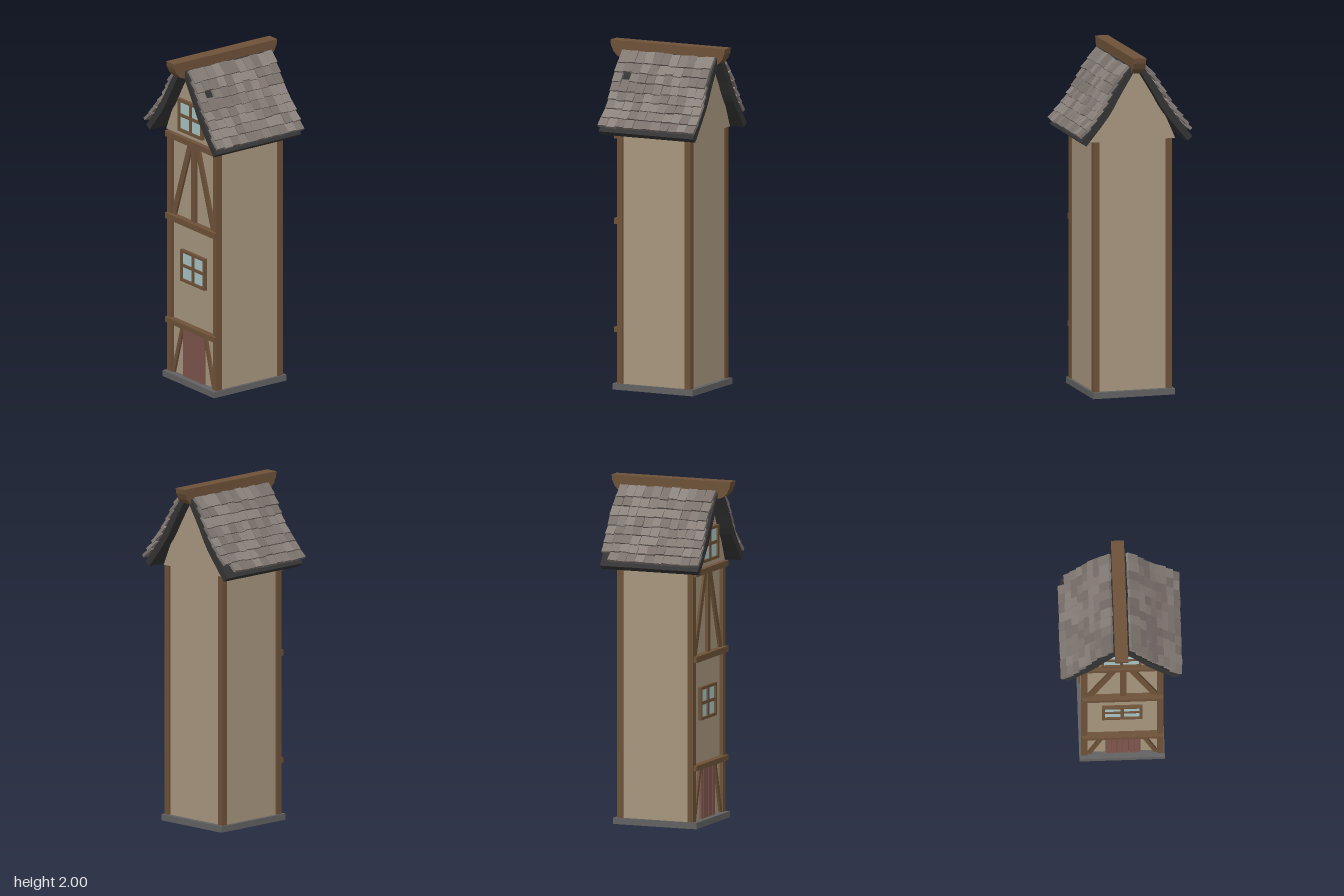
import * as THREE from 'three';
import { mergeGeometries } from 'three/addons/utils/BufferGeometryUtils.js';

const mat = (color) => new THREE.MeshStandardMaterial({ color, flatShading: true });
const WALL = mat(0xa8977f), WOOD = mat(0x6e5239), GLASS = mat(0xa9c6c6), DOOR = mat(0x80564e);
const STONE = mat(0x626262), UNDERLAY = mat(0x343434);
const TILES = [0x8b827c, 0x827973, 0x7a716c].map(mat);

let seed = 7;
const rand = () => (seed = (seed * 16807) % 2147483647) / 2147483647;
const jitter = (a) => (rand() - 0.5) * 2 * a;

// Box given by its limits on each axis
function box(parent, name, m, x0, x1, y0, y1, z0, z1) {
  const mesh = new THREE.Mesh(new THREE.BoxGeometry(x1 - x0, y1 - y0, z1 - z0), m);
  mesh.position.set((x0 + x1) / 2, (y0 + y1) / 2, (z0 + z1) / 2);
  mesh.name = name;
  parent.add(mesh);
  return mesh;
}

// Outline in xy, extruded from z0 to z1
function slab(parent, name, m, pts, z0, z1) {
  const shape = new THREE.Shape(pts.map(([x, y]) => new THREE.Vector2(x, y)));
  const geo = new THREE.ExtrudeGeometry(shape, { depth: z1 - z0, bevelEnabled: false });
  const mesh = new THREE.Mesh(geo.translate(0, 0, z0), m);
  mesh.name = name;
  parent.add(mesh);
  return mesh;
}

// Slanted timber between two points, cut level at both ends
function brace(parent, name, xa, ya, xb, yb, w) {
  slab(parent, name, WOOD, [[xa - w / 2, ya], [xa + w / 2, ya], [xb + w / 2, yb], [xb - w / 2, yb]], 0.185, 0.213);
}

// Four-pane window
function windowUnit(parent, x0, x1, y0, y1, z) {
  const g = new THREE.Group();
  g.name = 'window';
  const f = 0.016, cx = (x0 + x1) / 2, cy = (y0 + y1) / 2;
  box(g, 'glass', GLASS, x0 + f, x1 - f, y0 + f, y1 - f, z - 0.03, z - 0.012);
  for (const x of [x0, x1 - f]) box(g, 'windowJamb', WOOD, x, x + f, y0, y1, z - 0.03, z);
  for (const y of [y0, y1 - f]) box(g, 'windowRail', WOOD, x0 + f, x1 - f, y, y + f, z - 0.03, z);
  box(g, 'mullion', WOOD, cx - 0.009, cx + 0.009, y0 + f, y1 - f, z - 0.03, z - 0.004);
  box(g, 'glazingBar', WOOD, x0 + f, x1 - f, cy - 0.009, cy + 0.009, z - 0.03, z - 0.005);
  parent.add(g);
}

// Roof outer and inner curves, ridge to eave
const curve = (pts) => new THREE.SplineCurve(pts.map(([x, y]) => new THREE.Vector2(x, y)));
const outer = curve([[0.035, 1.945], [0.12, 1.82], [0.2, 1.69], [0.335, 1.515]]);
const inner = curve([[0.02, 1.91], [0.1, 1.78], [0.17, 1.66], [0.305, 1.492]]);

// One side of the roof: sagging underlay and overlapping shingles
function roofSide(parent, s) {
  const g = new THREE.Group();
  g.name = s > 0 ? 'leftRoof' : 'rightRoof';
  const line = [...outer.getPoints(9), ...inner.getPoints(9).reverse()].map((p) => [s * p.x, p.y]);
  slab(g, 'roofUnderlay', UNDERLAY, line, -0.32, 0.292);

  const courses = 8, columns = 11, batches = [[], [], []];
  for (let i = 0; i < courses; i++) {
    for (let j = 0; j < columns; j++) {
      // lost shingles
      if ((s > 0 && i === 2 && j === 9) || (s < 0 && i === courses - 1 && j === 0)) continue;
      const t = 0.045 + (i + 0.45) * 0.905 / courses + jitter(0.007);
      const p = outer.getPointAt(t), d = outer.getTangentAt(t);
      const spread = 0.6 + 0.03 * t * t;
      const w = spread / columns;
      const z = -0.018 + (j + 0.5 - columns / 2) * w + 0.006 * Math.sin(i * 0.9 + (s > 0 ? 0 : 2)) + jitter(0.002);
      const geo = new THREE.BoxGeometry(0.082 + jitter(0.004), 0.018, w - 0.001);
      geo.rotateX(jitter(0.05));
      geo.rotateY(jitter(0.06));
      geo.rotateZ(s * (Math.atan2(d.y, d.x) + 0.17 + jitter(0.04)));
      const lift = 0.02;
      geo.translate(s * (p.x - d.y * lift), p.y + d.x * lift, z);
      batches[Math.floor(rand() * 3)].push(geo);
    }
  }
  batches.forEach((b, k) => {
    const mesh = new THREE.Mesh(mergeGeometries(b), TILES[k]);
    mesh.name = 'shingles';
    g.add(mesh);
  });
  parent.add(g);
}

export function createModel() {
  const model = new THREE.Group();
  model.name = 'timberTower';

  // Stone footing, open underneath
  const footing = new THREE.Group();
  footing.name = 'footing';
  box(footing, 'footingFront', STONE, -0.242, 0.25, 0, 0.036, 0.195, 0.245);
  box(footing, 'footingBack', STONE, -0.242, 0.25, 0, 0.036, -0.275, -0.225);
  box(footing, 'footingSide', STONE, -0.242, -0.2, 0, 0.036, -0.225, 0.195);
  box(footing, 'footingSide', STONE, 0.208, 0.25, 0, 0.036, -0.225, 0.195);
  model.add(footing);

  // Walls and corner posts
  box(model, 'walls', WALL, -0.222, 0.234, 0.02, 1.5, -0.245, 0.2);
  for (const x of [-0.231, 0.206])
    for (const z of [-0.256, 0.184]) box(model, 'cornerPost', WOOD, x, x + 0.037, 0.036, 1.5, z, z + 0.037);

  // Gable block
  const half = [[0.25, 1.5], [0.2, 1.615], [0.16, 1.69], [0.1, 1.79], [0.028, 1.91]];
  slab(model, 'gable', WALL, [...half, ...half.map(([x, y]) => [-x, y]).reverse()], -0.256, 0.213);

  // Front rails, stud and braces
  for (const [y0, y1] of [[0.335, 0.365], [0.965, 1.0], [1.465, 1.499]])
    box(model, 'frontRail', WOOD, -0.228, 0.243, y0, y1, 0.19, 0.24);
  box(model, 'centreStud', WOOD, -0.008, 0.031, 0.96, 1.466, 0.19, 0.217);
  for (const s of [-1, 1]) {
    brace(model, 'upperBrace', 0.007 + s * 0.188, 1.0, 0.009 + s * 0.032, 1.466, 0.04);
    brace(model, 'lowerBrace', 0.007 + s * 0.193, 0.036, 0.009 + s * 0.107, 0.336, 0.026);
  }

  // Plank door
  const door = new THREE.Group();
  door.name = 'door';
  box(door, 'doorBacking', WOOD, -0.09, 0.11, 0.036, 0.336, 0.19, 0.203);
  for (let i = 0; i < 6; i++) {
    const x = -0.089 + i * 0.0333;
    box(door, 'doorPlank', DOOR, x, x + 0.029, 0.036, 0.335, 0.195, 0.212);
  }
  model.add(door);

  windowUnit(model, -0.11, 0.122, 0.613, 0.805, 0.22);
  windowUnit(model, -0.115, 0.117, 1.53, 1.725, 0.235);

  // Roof
  roofSide(model, 1);
  roofSide(model, -1);

  // Ridge beam with rounded-off ends
  const end = (s, low) => [[s * 0.372, 2], [s * 0.368, 1.97], [s * 0.352, 1.935], [s * 0.328, 1.91], [s * low, 1.898]];
  const ridge = slab(model, 'ridgeBeam', WOOD, [...end(1, 0.295), ...end(-1, 0.295).reverse()], -0.0375, 0.0375);
  ridge.rotation.y = Math.PI / 2;
  ridge.position.x = -0.002;

  return model;
}
